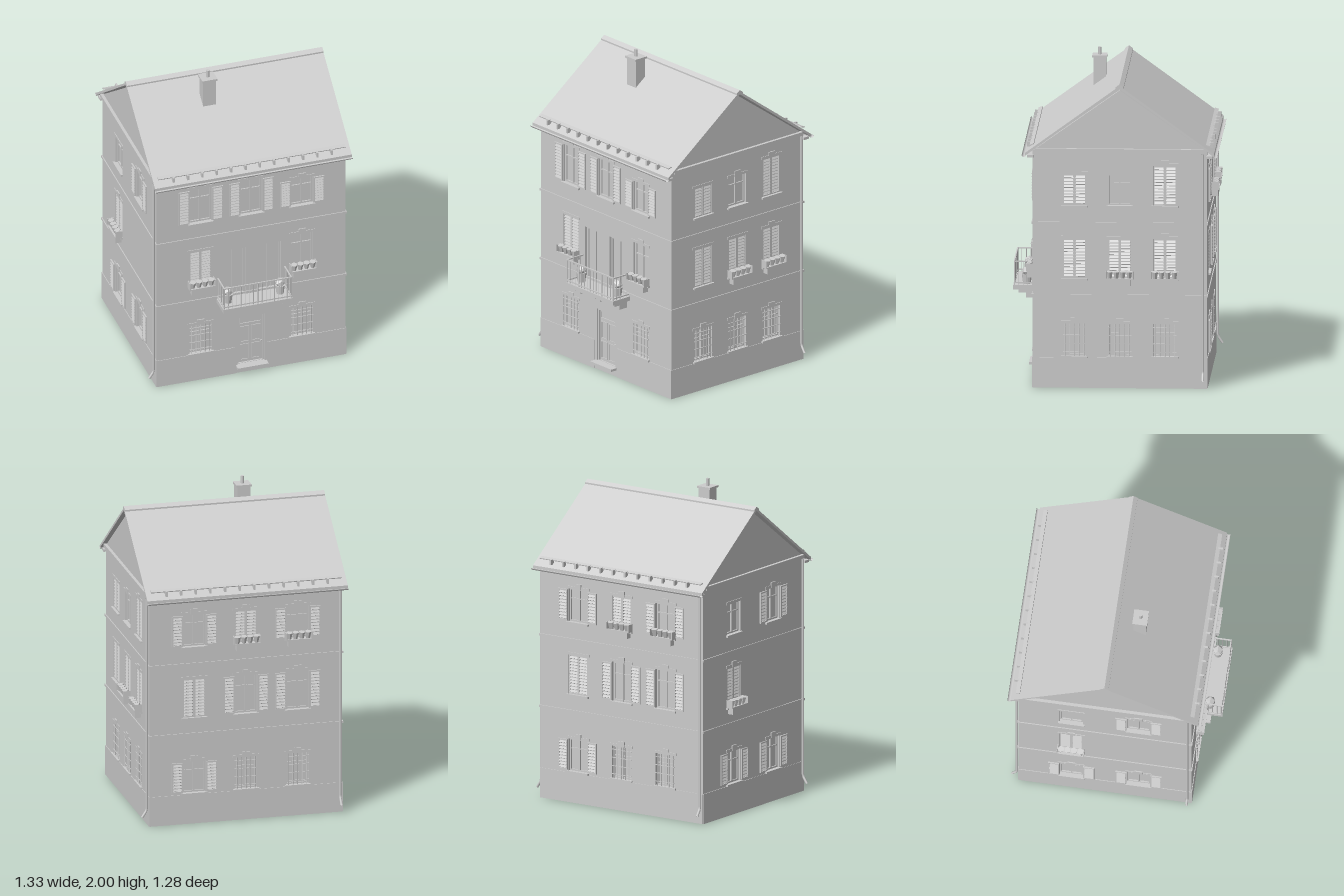
import * as THREE from 'three';

const mat = new THREE.MeshStandardMaterial({ color: 0xcccccc, flatShading: true });
const smooth = new THREE.MeshStandardMaterial({ color: 0xcccccc, side: THREE.DoubleSide });

const CZ = -0.035, HW = 0.615, HD = 0.54;       // house centre in z, half width, half depth
const APEX = 1.907, SLOPE = 0.728, EAVE = 0.585; // roof
const W = 0.145;                                 // window opening width

function add(parent, name, geo, x = 0, y = 0, z = 0, m = mat) {
  const mesh = new THREE.Mesh(geo, m);
  mesh.name = name;
  mesh.position.set(x, y, z);
  parent.add(mesh);
  return mesh;
}
// Box given by its min and max corners
function box(parent, name, x0, x1, y0, y1, z0, z1) {
  return add(parent, name, new THREE.BoxGeometry(x1 - x0, y1 - y0, z1 - z0),
    (x0 + x1) / 2, (y0 + y1) / 2, (z0 + z1) / 2);
}
function group(parent, name, x = 0, y = 0, z = 0) {
  const g = new THREE.Group();
  g.name = name;
  g.position.set(x, y, z);
  parent.add(g);
  return g;
}
function ring(w, h, t, depth) { // rectangular frame, bottom centre at the origin
  const s = new THREE.Shape([[-w / 2, 0], [w / 2, 0], [w / 2, h], [-w / 2, h]].map(p => new THREE.Vector2(...p)));
  s.holes.push(new THREE.Path([[-w / 2 + t, t], [-w / 2 + t, h - t], [w / 2 - t, h - t], [w / 2 - t, t]].map(p => new THREE.Vector2(...p))));
  return new THREE.ExtrudeGeometry(s, { depth, bevelEnabled: false });
}

// Louvred shutter leaf
function shutterLeaf(parent, x, y, w, h, z) {
  const g = group(parent, 'shutterLeaf', x, y, z);
  add(g, 'shutterFrame', ring(w, h, 0.008, 0.009));
  box(g, 'shutterBack', -w / 2 + 0.004, w / 2 - 0.004, 0.004, h - 0.004, 0, 0.002);
  const n = Math.round(h / 0.021);
  for (let i = 0; i < n; i++) {
    const slat = add(g, 'slat', new THREE.BoxGeometry(w - 0.014, 0.014, 0.003), 0, 0.008 + (i + 0.5) * (h - 0.016) / n, 0.006);
    slat.rotation.x = -0.5;
  }
}

// Flower box with four plants, hung in front of a sill
function planter(parent) {
  const g = group(parent, 'planter');
  box(g, 'planterTray', -0.07, 0.07, -0.04, 0.005, 0.006, 0.045);
  box(g, 'planterRail', -0.085, 0.085, 0.0, 0.008, 0.044, 0.05);
  for (const s of [-1, 1]) box(g, 'planterSide', s * 0.0825 - 0.0025, s * 0.0825 + 0.0025, 0, 0.05, 0.004, 0.05);
  for (let i = 0; i < 4; i++) {
    const plant = add(g, 'plant', new THREE.CylinderGeometry(0.021, 0.012, 0.048, 6), -0.06 + i * 0.04, 0.026, 0.028);
    plant.rotation.x = 0.15;
  }
}

// Window in wall space, outward is +z
function windowUnit(wall, [x, y0, y1, type, hasPlanter, key]) {
  const g = group(wall, 'window', x, y0, 0), h = y1 - y0;
  box(g, 'pane', -W / 2, W / 2, 0, h, -0.034, -0.024);
  if (type === 'shut') {
    for (const s of [-1, 1]) shutterLeaf(g, s * W / 4, 0, W / 2 - 0.001, h, -0.012);
  } else {
    add(g, 'frame', ring(W, h, 0.01, 0.01), 0, 0, -0.025);
    box(g, 'mullion', -0.005, 0.005, 0, h, -0.025, -0.014);
    box(g, 'transom', -W / 2, W / 2, h * 0.68, h * 0.68 + 0.007, -0.025, -0.016);
  }
  if (type === 'open') for (const s of [-1, 1]) shutterLeaf(g, s * (W / 2 + 0.037), 0.006, 0.07, h - 0.012, 0.002);
  if (type === 'bars') {
    for (let i = 0; i < 5; i++) add(g, 'bar', new THREE.CylinderGeometry(0.003, 0.003, h, 6), -0.058 + i * 0.029, h / 2, 0.002);
    for (let i = 0; i < 4; i++) box(g, 'crossBar', -W / 2, W / 2, 0.025 + i * 0.052, 0.029 + i * 0.052, -0.001, 0.005);
  }
  // Surround
  box(g, 'sill', -W / 2 - 0.01, W / 2 + 0.01, -0.012, 0, -0.02, 0.014);
  box(g, 'lintel', -W / 2 - 0.012, W / 2 + 0.012, h, h + 0.016, 0, 0.004);
  if (key) box(g, 'keystone', -0.024, 0.024, h, h + 0.035, 0, 0.007);
  if (hasPlanter) planter(g);
}

// Wall with openings; gabled walls rise to the ridge
function makeWall(parent, name, half, gable, windows, openings, x, z, ry) {
  const wall = group(parent, name, x, 0, z);
  wall.rotation.y = ry;
  const pts = gable ? [[-half, 0], [half, 0], [half, 1.49], [0, 1.875], [-half, 1.49]]
    : [[-half, 0], [half, 0], [half, 1.49], [-half, 1.49]];
  const shape = new THREE.Shape(pts.map(p => new THREE.Vector2(...p)));
  const holes = windows.map(w => [w[0] - W / 2, w[0] + W / 2, w[1], w[2]]).concat(openings);
  for (const [a, b, c, d] of holes)
    shape.holes.push(new THREE.Path([[a, c], [a, d], [b, d], [b, c]].map(p => new THREE.Vector2(...p))));
  add(wall, 'masonry', new THREE.ExtrudeGeometry(shape, { depth: 0.025, bevelEnabled: false }), 0, 0, -0.025);
  for (const y of [0.575, 1.03]) box(wall, 'stringCourse', -half - 0.005, half + 0.005, y, y + 0.014, -0.002, 0.006);
  const spans = openings.length ? [[-half, -0.105], [0.105, half]] : [[-half, half]];
  for (const [a, b] of spans) box(wall, 'plinth', a, b, 0, 0.19, -0.002, 0.004);
  windows.forEach(w => windowUnit(wall, w));
  return wall;
}

function makeDoor(wall) {
  const g = group(wall, 'frontDoor');
  box(g, 'doorLeaf', -0.088, 0.088, 0.05, 0.4, -0.04, -0.022);
  add(g, 'doorFrame', ring(0.176, 0.35, 0.01, 0.014), 0, 0.05, -0.025);
  add(g, 'fanlight', ring(0.145, 0.05, 0.006, 0.006), 0, 0.338, -0.022);
  for (const y of [0.075, 0.205]) for (const s of [-1, 1])
    add(g, 'doorPanel', ring(0.06, 0.115, 0.006, 0.005), s * 0.037, y, -0.022);
  add(g, 'doorKnob', new THREE.SphereGeometry(0.006, 8, 6), 0.07, 0.2, -0.014, smooth);
  box(g, 'doorStep', -0.1, 0.1, 0.043, 0.058, -0.02, 0.045);
}

function makeBalcony(wall) {
  const g = group(wall, 'balcony');
  box(g, 'slab', -0.225, 0.225, 0.54, 0.568, 0, 0.138);
  for (const x of [-0.183, 0, 0.183]) {
    box(g, 'bracketTop', x - 0.015, x + 0.015, 0.515, 0.54, 0, 0.105);
    box(g, 'bracketFoot', x - 0.012, x + 0.012, 0.485, 0.515, 0, 0.06);
  }
  for (const y of [0.578, 0.712]) {
    box(g, 'frontRail', -0.222, 0.222, y, y + 0.008, 0.126, 0.134);
    for (const s of [-1, 1]) box(g, 'sideRail', s * 0.218 - 0.004, s * 0.218 + 0.004, y, y + 0.008, 0, 0.13);
  }
  const baluster = (x, z, r) => add(g, 'baluster', new THREE.CylinderGeometry(r, r, 0.148, 6), x, 0.642, z);
  for (let i = 0; i <= 16; i++) baluster(-0.218 + i * 0.02725, 0.13, i % 4 ? 0.0022 : 0.004);
  for (const s of [-1, 1]) {
    for (let i = 0; i < 4; i++) baluster(s * 0.218, 0.02 + i * 0.028, 0.0022);
    // Potted plants
    add(g, 'pot', new THREE.CylinderGeometry(0.032, 0.024, 0.06, 8), s * 0.17, 0.598, 0.055);
    add(g, 'potPlant', new THREE.IcosahedronGeometry(0.034, 0), s * 0.17, 0.645, 0.055);
  }
  // Glazed doors
  for (const x of [-0.117, 0.113]) {
    box(g, 'balconyDoorPane', x - 0.08, x + 0.08, 0.568, 0.91, -0.034, -0.024);
    add(g, 'balconyDoorFrame', ring(0.16, 0.342, 0.012, 0.01), x, 0.568, -0.025);
    box(g, 'balconyDoorMullion', x - 0.005, x + 0.005, 0.57, 0.91, -0.025, -0.014);
  }
}

function makeRoof(parent) {
  const g = group(parent, 'roof', 0, 0, CZ);
  const chevron = (half, top, t) => {
    const y = top - half * SLOPE;
    const s = new THREE.Shape([[-half, y], [-half, y - t], [0, top - t], [half, y - t], [half, y], [0, top]].map(p => new THREE.Vector2(...p)));
    return new THREE.ExtrudeGeometry(s, { depth: 1.28, bevelEnabled: false }).translate(0, 0, -0.64).rotateY(Math.PI / 2);
  };
  add(g, 'roofSlopes', chevron(EAVE, APEX, 0.018));
  add(g, 'ridgeCap', chevron(0.025, APEX + 0.01, 0.014));
  for (const s of [-1, 1]) {
    // Gutter, open upwards
    const gutter = add(g, 'gutter', new THREE.CylinderGeometry(0.013, 0.013, 1.28, 10, 1, true, 0, Math.PI), 0, 1.468, s * 0.593, smooth);
    gutter.rotation.set(0, 0, Math.PI / 2);
    gutter.scale.x = -1;
    box(g, 'soffit', -0.63, 0.63, 1.45, 1.466, s * 0.555 - 0.02, s * 0.555 + 0.02);
    box(g, 'gableCornice', s * 0.622 - 0.012, s * 0.622 + 0.012, 1.485, 1.508, -0.525, 0.525);
    // Snow guard
    const y = APEX - 0.545 * SLOPE;
    const rail = add(g, 'snowRail', new THREE.BoxGeometry(1.22, 0.006, 0.026), 0, y + 0.018, s * 0.545);
    rail.rotation.x = s * 0.3;
    for (let i = 0; i < 12; i++) {
      const x = -0.515 + i * 0.0936;
      box(g, 'snowHook', x - 0.006, x + 0.006, y - 0.012, y + 0.02, s * 0.562 - 0.015, s * 0.562 + 0.015);
    }
  }
}

// Downpipe running down a wall, foot kicking out along (dx, dz)
function downpipe(parent, x, z, dx, dz) {
  const at = (d, y) => new THREE.Vector3(x + dx * d, y, z + dz * d);
  const path = new THREE.CurvePath();
  const pts = [at(0, 1.48), at(0, 0.1), at(0.03, 0.055)];
  for (let i = 0; i < 2; i++) path.add(new THREE.LineCurve3(pts[i], pts[i + 1]));
  add(parent, 'downpipe', new THREE.TubeGeometry(path, 64, 0.008, 8), 0, 0, 0, smooth);
}

export function createModel() {
  const house = new THREE.Group();
  house.name = 'townHouse';

  // Windows: [x, bottom, top, type, planter, keystone]
  const front = makeWall(house, 'frontWall', HW, false, [
    [-0.33, 0.2, 0.405, 'bars', 0, 1], [0.33, 0.2, 0.405, 'bars', 0, 1],
    [-0.33, 0.69, 0.94, 'shut', 1, 0], [0.33, 0.69, 0.94, 'glass', 1, 1],
    [-0.33, 1.15, 1.4, 'open', 0, 1], [0, 1.15, 1.4, 'open', 0, 1], [0.33, 1.15, 1.345, 'open', 0, 1],
  ], [[-0.088, 0.088, 0.05, 0.4], [-0.197, -0.037, 0.568, 0.91], [0.033, 0.193, 0.568, 0.91]], 0, CZ + HD, 0);
  makeDoor(front);
  makeBalcony(front);

  makeWall(house, 'backWall', HW, false, [
    [-0.33, 0.2, 0.405, 'open', 0, 1], [0, 0.2, 0.405, 'bars', 0, 1], [0.33, 0.2, 0.405, 'bars', 0, 1],
    [-0.33, 0.69, 0.94, 'shut', 0, 0], [0, 0.69, 0.94, 'open', 0, 1], [0.33, 0.69, 0.94, 'open', 0, 1],
    [-0.33, 1.15, 1.36, 'open', 0, 1], [0, 1.15, 1.36, 'shut', 1, 1], [0.33, 1.15, 1.36, 'open', 1, 1],
  ], [], 0, CZ - HD, Math.PI);

  makeWall(house, 'leftWall', HD, true, [
    ...[-0.28, 0, 0.28].map(x => [x, 0.2, 0.405, 'bars', 0, 1]),
    [-0.28, 0.69, 0.94, 'shut', 0, 0], [0, 0.69, 0.94, 'shut', 1, 0], [0.28, 0.69, 0.94, 'shut', 1, 1],
    [-0.28, 1.15, 1.345, 'shut', 0, 0], [0, 1.15, 1.345, 'glass', 0, 1], [0.28, 1.15, 1.4, 'shut', 0, 1],
  ], [], HW, CZ, Math.PI / 2);

  makeWall(house, 'rightWall', HD, true, [
    [-0.21, 0.2, 0.405, 'open', 0, 1], [0.21, 0.2, 0.405, 'open', 0, 1],
    [-0.21, 0.69, 0.94, 'shut', 1, 1],
    [-0.21, 1.15, 1.345, 'glass', 0, 0], [0.21, 1.15, 1.36, 'open', 0, 1],
  ], [], -HW, CZ, -Math.PI / 2);

  makeRoof(house);

  // Chimney
  const chimney = group(house, 'chimney', -0.158, 0, 0.123);
  box(chimney, 'chimneyStack', -0.042, 0.042, 1.74, 1.942, -0.038, 0.038);
  box(chimney, 'chimneyCap', -0.049, 0.049, 1.94, 1.953, -0.046, 0.046);
  add(chimney, 'chimneyPot', new THREE.CylinderGeometry(0.011, 0.011, 0.05, 12), 0, 1.975, 0, smooth);

  downpipe(house, 0.627, -0.55, 1, 0);
  downpipe(house, -0.627, 0.48, -1, 0);
  downpipe(house, -0.6, -0.587, 0, -1);
  return house;
}
